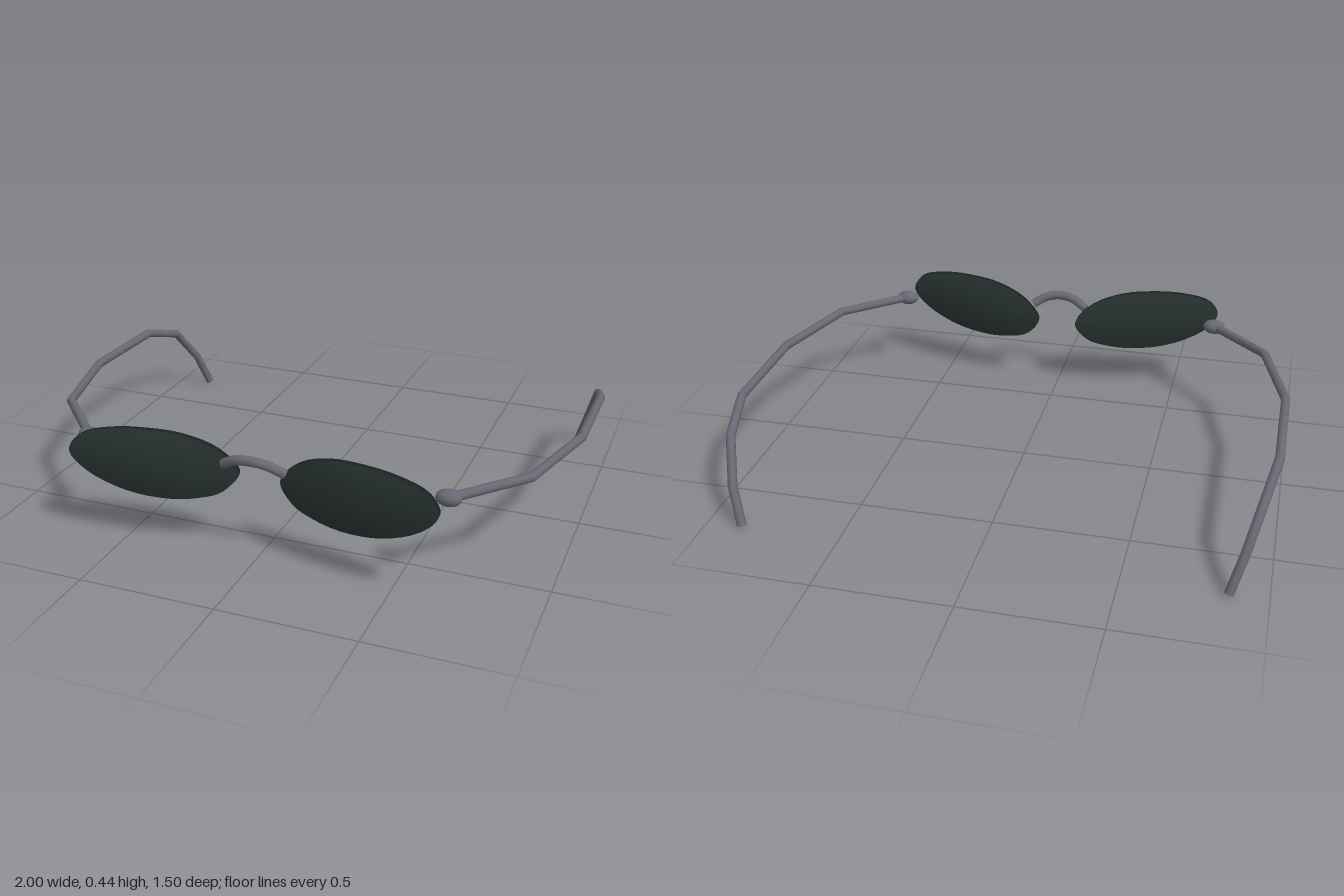
import * as THREE from 'three';

const metal = new THREE.MeshStandardMaterial({ name: 'grey metal', color: 0x686874 });
const glass = new THREE.MeshStandardMaterial({ name: 'dark glass', color: 0x283331 });

const vec = (p) => new THREE.Vector3(...p);

// Straight-sided path whose corners are mitred, one tube segment per leg
class Polyline extends THREE.Curve {
  constructor(points) {
    super();
    this.points = points;
  }
  getPointAt(t) {
    const n = this.points.length - 1;
    const i = Math.min(Math.floor(t * n + 1e-6), n - 1);
    return this.points[i].clone().lerp(this.points[i + 1], t * n - i);
  }
  getPoint(t) {
    return this.getPointAt(t);
  }
  getTangentAt(t) {
    const p = this.points, n = p.length - 1, i = Math.round(t * n);
    const tangent = new THREE.Vector3();
    if (i > 0) tangent.add(p[i].clone().sub(p[i - 1]).normalize());
    if (i < n) tangent.add(p[i + 1].clone().sub(p[i]).normalize());
    return tangent.normalize();
  }
}

// Capped wire swept along a list of points
function wire(name, points, radius, sides) {
  const group = new THREE.Group();
  group.name = name;
  const path = new Polyline(points);
  group.add(new THREE.Mesh(new THREE.TubeGeometry(path, points.length - 1, radius, sides), metal));
  for (const t of [0, 1]) {
    const cap = new THREE.Mesh(new THREE.CircleGeometry(radius, sides), metal);
    const out = path.getTangentAt(t).multiplyScalar(t ? 1 : -1);
    cap.position.copy(path.getPointAt(t));
    cap.quaternion.setFromUnitVectors(new THREE.Vector3(0, 0, 1), out);
    group.add(cap);
  }
  group.children.forEach((mesh) => { mesh.name = name; });
  return group;
}

// Lens: front and back fans sharing a rim, so the shading rolls softly over the edge
function lensGeometry(side) {
  const outline = new THREE.CatmullRomCurve3([
    [0.668, 0.342], [0.632, 0.403], [0.52, 0.436], [0.39, 0.442], [0.27, 0.43], [0.15, 0.383],
    [0.08, 0.302], [0.13, 0.23], [0.21, 0.2], [0.32, 0.187], [0.47, 0.207], [0.61, 0.272],
  ].map(([x, y]) => new THREE.Vector3(x, y, 0)), true);
  const n = 48, half = 0.014;
  const depth = (x) => 0.615 + 0.2 * (x - 0.08) + 0.07 * (x - 0.08) * (0.668 - x);
  const positions = [], index = [];
  const ring = outline.getPoints(n).slice(0, n);
  ring.push(new THREE.Vector3(0.375, 0.315, 0));
  for (const offset of [half, -half]) {
    for (const p of ring) positions.push(side * p.x, p.y, depth(p.x) + offset);
  }
  const tri = (a, b, c) => (side > 0 ? index.push(a, b, c) : index.push(a, c, b));
  const back = n + 1;
  for (let i = 0; i < n; i++) {
    const j = (i + 1) % n;
    tri(n, i, j);
    tri(back + n, back + j, back + i);
    tri(i, back + i, back + j);
    tri(i, back + j, j);
  }
  const geometry = new THREE.BufferGeometry();
  geometry.setAttribute('position', new THREE.Float32BufferAttribute(positions, 3));
  geometry.setIndex(index);
  geometry.computeVertexNormals();
  return geometry;
}

export function createModel() {
  const model = new THREE.Group();
  model.name = 'sunglasses';

  // Arched nose bridge
  const arch = new THREE.CatmullRomCurve3([
    [-0.113, 0.35, 0.66], [-0.06, 0.38, 0.679], [0, 0.39, 0.686], [0.06, 0.38, 0.679], [0.113, 0.35, 0.66],
  ].map(vec));
  model.add(wire('bridge', arch.getPoints(14), 0.018, 10));

  for (const side of [1, -1]) {
    const label = side > 0 ? 'left' : 'right';

    const lens = new THREE.Mesh(lensGeometry(side), glass);
    lens.name = label + 'Lens';
    model.add(lens);

    // Flattened hinge bead
    const hinge = new THREE.Mesh(new THREE.SphereGeometry(1, 14, 10), metal);
    hinge.name = label + 'Hinge';
    hinge.scale.set(0.045, 0.029, 0.034);
    hinge.position.set(side * 0.665, 0.345, 0.612);
    model.add(hinge);

    // Temple arm with the ear hook
    const arm = [
      [0.67, 0.345, 0.61], [0.885, 0.353, 0.385], [0.982, 0.354, 0.02], [0.982, 0.345, -0.395],
      [0.947, 0.283, -0.582], [0.905, 0.14, -0.692], [0.866, 0.007, -0.735],
    ].map(([x, y, z]) => new THREE.Vector3(side * x, y, z));
    model.add(wire(label + 'Temple', arm, 0.017, 10));
  }
  return model;
}
